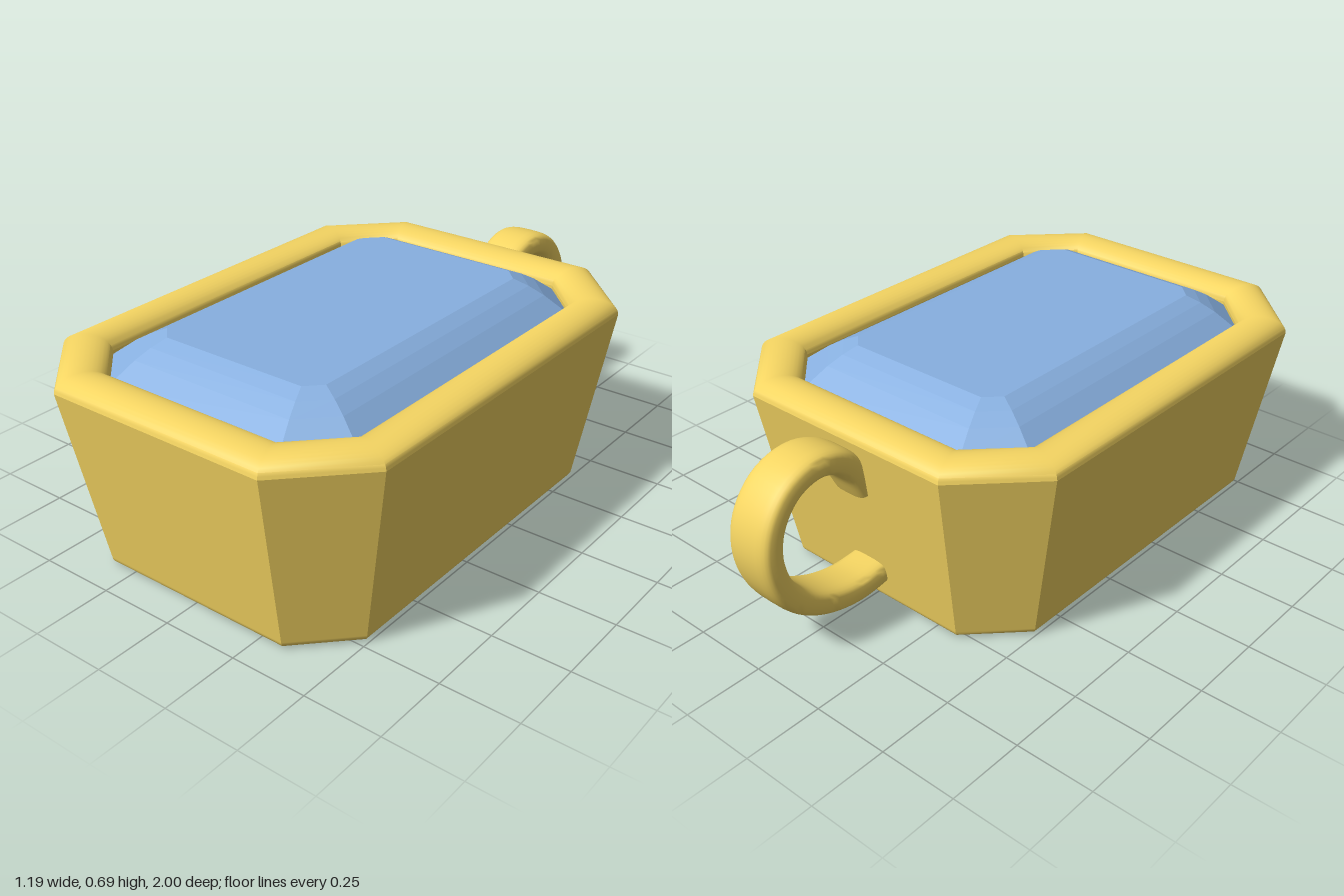
import * as THREE from 'three';
import { toCreasedNormals } from 'three/addons/utils/BufferGeometryUtils.js';

const CENTRE_Z = 0.182;

// Joins equally sized rings of points into a skin
function skin(rings) {
  const n = rings[0].length, pos = [];
  const tri = (a, b, c) => {
    const area = new THREE.Triangle(a, b, c).getArea();
    if (area > 1e-9) for (const p of [a, b, c]) pos.push(p.x, p.y, p.z);
  };
  for (let i = 0; i < rings.length - 1; i++) {
    const lo = rings[i], hi = rings[i + 1];
    for (let j = 0; j < n; j++) {
      const k = (j + 1) % n;
      tri(lo[j], hi[j], lo[k]);
      tri(lo[k], hi[j], hi[k]);
    }
  }
  const g = new THREE.BufferGeometry();
  g.setAttribute('position', new THREE.Float32BufferAttribute(pos, 3));
  g.computeVertexNormals();
  return g;
}

// Long octagon of half width w at height y
function octagon([w, y]) {
  const l = w * 1.04 + 0.197, c = 0.225 + (w - 0.6) * 0.586;
  return [
    [w, -l + c], [w, l - c], [w - c, l], [-w + c, l],
    [-w, l - c], [-w, -l + c], [-w + c, -l], [w - c, -l],
  ].map(([x, z]) => new THREE.Vector3(x, y, z + CENTRE_Z));
}

// Points on an elliptical arc between two angles
function arc(cx, cy, rx, ry, from, to, steps) {
  return Array.from({ length: steps + 1 }, (_, i) => {
    const a = from + (to - from) * i / steps;
    return [cx + rx * Math.cos(a), cy + ry * Math.sin(a)];
  });
}

function mesh(name, geometry, color, flatShading = false) {
  const m = new THREE.Mesh(geometry, new THREE.MeshStandardMaterial({ color, flatShading }));
  m.name = name;
  return m;
}

export function createModel() {
  const model = new THREE.Group();
  model.name = 'gemSetting';
  const gold = 0xf5d562, blue = 0x88b0e0;
  const P = Math.PI;

  // Hollow tapered setting, each part a strip of the same closed profile
  const foot = [[0.37, 0], ...arc(0.47, 0.025, 0.028, 0.025, -P / 2, 0, 5)];
  const rim = arc(0.526, 0.6, 0.071, 0.046, 0, P, 16);
  const parts = {
    foot,
    outerWall: [foot.at(-1), rim[0]],
    rim,
    innerWall: [rim.at(-1), [0.455, 0.5], [0.39, 0.38], [0.37, 0.075]],
    lip: [[0.37, 0.075], [0.365, 0.06], [0.365, 0.01], [0.37, 0]],
  };
  for (const [name, profile] of Object.entries(parts)) {
    model.add(mesh(name, toCreasedNormals(skin(profile.map(octagon)), 0.6), gold));
  }

  // Step-cut gem: flat underside, pavilion, girdle, crown, flat table
  const steps = [
    [0.3, 0.35], [0.39, 0.37], [0.455, 0.46], [0.46, 0.585],
    [0.385, 0.643], [0.34, 0.67], [0.295, 0.69],
  ].map(octagon);
  const cap = (y) => Array.from({ length: 8 }, () => new THREE.Vector3(0, y, CENTRE_Z));
  model.add(mesh('gem', skin([cap(0.35), ...steps, cap(0.69)]), blue, true));

  // Curled handle: rounded strap swept along a curve in the middle plane
  const path = new THREE.CatmullRomCurve3([
    [-0.585, 0.43], [-0.63, 0.51], [-0.69, 0.567], [-0.78, 0.592], [-0.875, 0.563],
    [-0.94, 0.485], [-0.96, 0.39], [-0.935, 0.28], [-0.87, 0.192], [-0.77, 0.133],
    [-0.65, 0.107], [-0.5, 0.12],
  ].map(([z, y]) => new THREE.Vector3(0, y, z)));
  const N = 56, M = 24;
  const soft = (v) => Math.sign(v) * Math.abs(v) ** 0.55;
  const strap = [];
  for (let i = 0; i <= N; i++) {
    const p = path.getPointAt(i / N), t = path.getTangentAt(i / N);
    const out = new THREE.Vector3(0, -t.z, t.y);
    const halfWidth = 0.068 + 0.015 * Math.sin(P * i / N);
    strap.push(Array.from({ length: M }, (_, j) => {
      const a = 2 * P * j / M;
      return p.clone().addScaledVector(out, 0.04 * soft(Math.sin(a)))
        .setX(halfWidth * soft(Math.cos(a)));
    }));
  }
  const end = (u) => Array.from({ length: M }, () => path.getPointAt(u));
  const handle = skin([end(0), ...strap, end(1)]);
  model.add(mesh('handle', toCreasedNormals(handle, 0.9), gold));

  return model;
}
